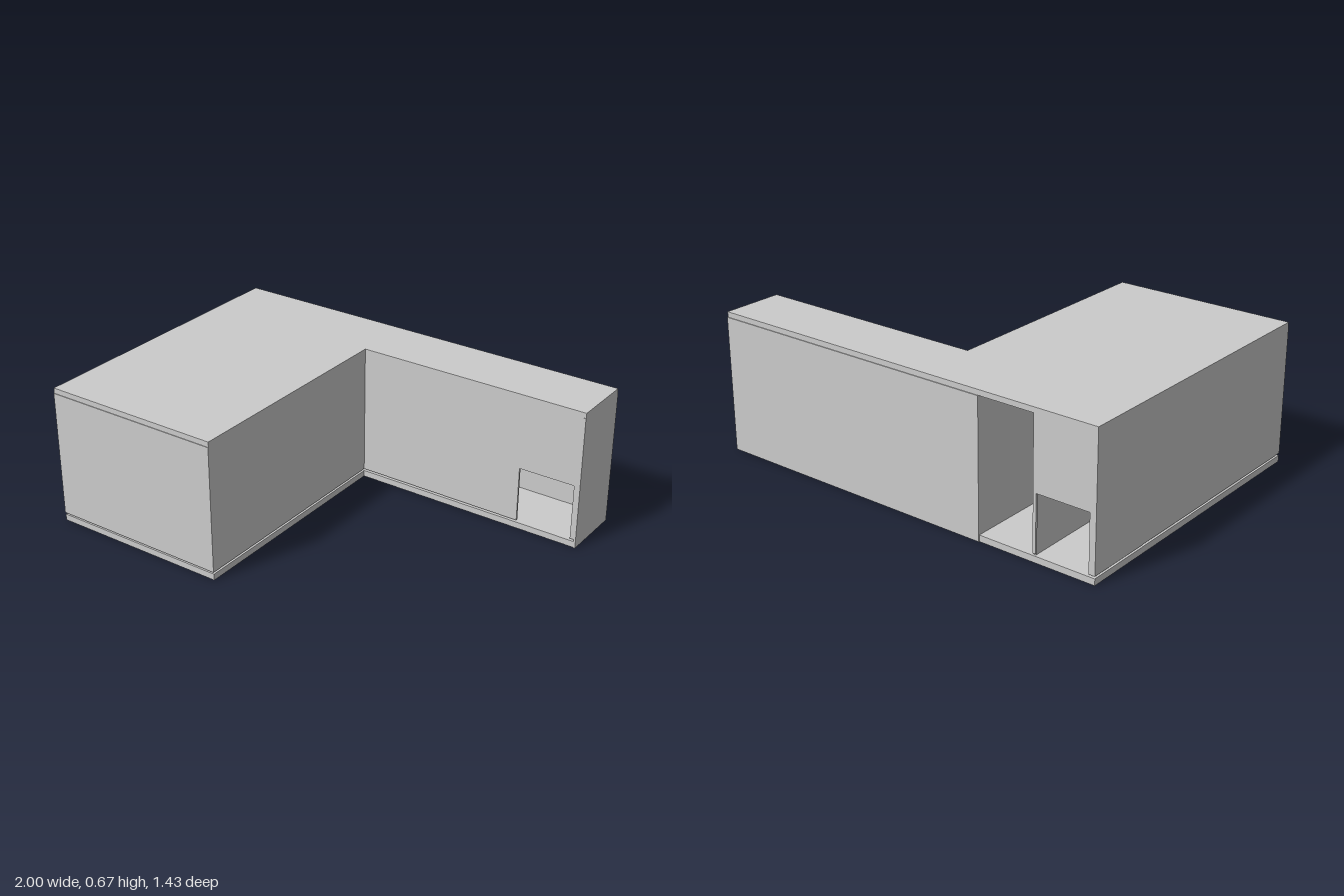
import * as THREE from 'three';

const material = new THREE.MeshStandardMaterial({ color: 0xcccccc, flatShading: true });
const T = 0.01; // board thickness

function addMesh(group, name, geometry) {
  const mesh = new THREE.Mesh(geometry, material);
  mesh.name = name;
  group.add(mesh);
  return mesh;
}

// Box between two corners
function board(group, name, [x0, y0, z0], [x1, y1, z1]) {
  const geometry = new THREE.BoxGeometry(x1 - x0, y1 - y0, z1 - z0);
  geometry.translate((x0 + x1) / 2, (y0 + y1) / 2, (z0 + z1) / 2);
  return addMesh(group, name, geometry);
}

// L-shaped slab between two heights
function slab(group, name, y0, y1) {
  const outline = [[-1, 0.71], [-1, -0.71], [1, -0.71], [1, -0.415], [-0.13, -0.415], [-0.13, 0.71]];
  const shape = new THREE.Shape(outline.map(([x, z]) => new THREE.Vector2(x, -z)));
  const geometry = new THREE.ExtrudeGeometry(shape, { depth: y1 - y0, bevelEnabled: false });
  geometry.rotateX(-Math.PI / 2);
  geometry.translate(0, y0, 0);
  return addMesh(group, name, geometry);
}

// Upright panel facing z, with a doorway cut up from its lower edge
function doorPanel(group, name, x0, x1, z, doorLeft, doorRight) {
  const points = [
    [x0, 0.04], [doorLeft, 0.04], [doorLeft, 0.305], [doorRight, 0.305],
    [doorRight, 0.04], [x1, 0.04], [x1, 0.64], [x0, 0.64],
  ];
  const shape = new THREE.Shape(points.map(([x, y]) => new THREE.Vector2(x, y)));
  const geometry = new THREE.ExtrudeGeometry(shape, { depth: T, bevelEnabled: false });
  geometry.translate(0, 0, z);
  return addMesh(group, name, geometry);
}

export function createModel() {
  const group = new THREE.Group();
  group.name = 'lShapedShelter';

  slab(group, 'floor', 0, 0.03);
  slab(group, 'roof', 0.64, 0.665);

  // Outer walls raised slightly above the floor
  board(group, 'frontWall', [-1, 0.04, 0.713 - T], [-0.13, 0.64, 0.713]);
  board(group, 'rightSideWall', [-1, 0.04, -0.71], [-1 + T, 0.64, 0.713 - T]);
  board(group, 'innerSideWall', [-0.13 - T, 0.04, -0.415], [-0.13, 0.64, 0.713 - T]);
  doorPanel(group, 'wingFrontWall', -0.13, 1 - T, -0.415 - T, 0.7, 0.97);
  doorPanel(group, 'backDoorPanel', -1 + T, -0.7, -0.71, -0.97, -0.715);

  // Walls that overlap the floor edge
  board(group, 'backWall', [-0.43, 0, -0.714], [1, 0.64, -0.714 + T]);
  board(group, 'wingEndWall', [1 - T, 0, -0.714 + T], [1, 0.64, -0.412]);

  // Inner partitions enclosing the niche that opens at the back
  board(group, 'nicheRightWall', [-0.71, 0.03, -0.71 + T], [-0.7, 0.64, 0.44]);
  board(group, 'nicheLeftWall', [-0.43, 0.03, -0.714 + T], [-0.42, 0.64, 0.44]);
  board(group, 'nicheEndWall', [-0.7, 0.03, 0.43], [-0.43, 0.64, 0.44]);

  return group;
}
